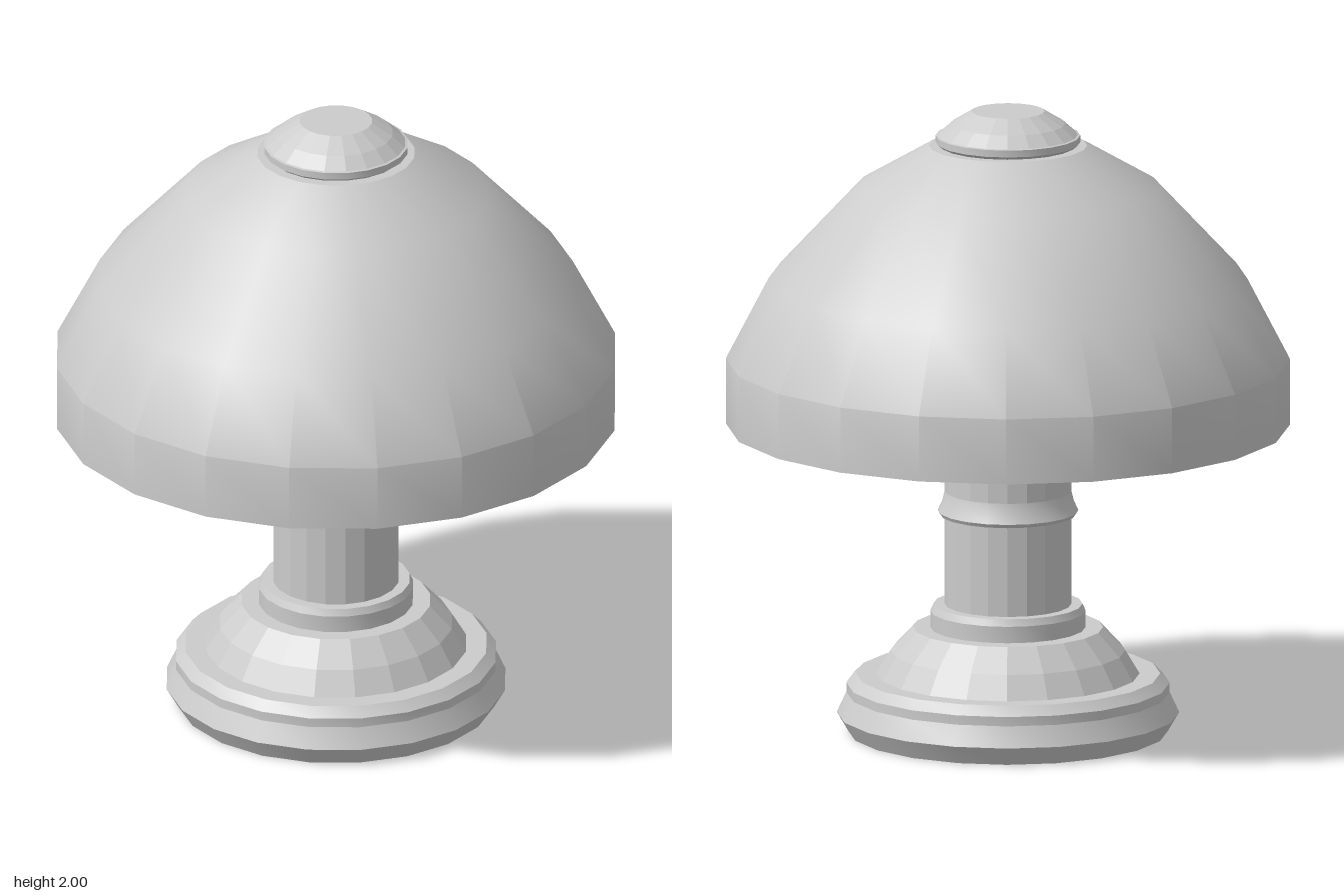
import * as THREE from 'three';
import { toCreasedNormals } from 'three/addons/utils/BufferGeometryUtils.js';

const SIDES = 20;
const material = new THREE.MeshStandardMaterial({ color: 0xcccccc });
const faceted = new THREE.MeshStandardMaterial({ color: 0xcccccc, flatShading: true });

// Turned part from [radius, height] pairs, listed from the bottom up.
function turned(name, profile, { flat = false, crease = 24 } = {}) {
  const points = profile.map(([r, y]) => new THREE.Vector2(r, y));
  const lathe = new THREE.LatheGeometry(points, SIDES);
  const geometry = flat ? lathe : toCreasedNormals(lathe, THREE.MathUtils.degToRad(crease));
  const mesh = new THREE.Mesh(geometry, flat ? faceted : material);
  mesh.name = name;
  return mesh;
}

export function createModel() {
  const group = new THREE.Group();
  group.name = 'tableLamp';
  group.add(
    // Foot: splayed plinth, faceted shoulder and a small collar
    turned('basePlinth', [[0, 0], [0.505, 0], [0.54, 0.06], [0.51, 0.125], [0.51, 0.155], [0.48, 0.185], [0.41, 0.185]]),
    turned('baseShoulder', [[0.415, 0.185], [0.37, 0.26], [0.3, 0.335], [0.24, 0.335]], { flat: true }),
    turned('baseCollar', [[0.245, 0.335], [0.245, 0.388], [0.235, 0.41], [0.19, 0.41]]),
    // Column with a raised ring
    turned('stem', [[0.2, 0.4], [0.2, 0.97]], { flat: true }),
    turned('stemRing', [[0.2, 0.7], [0.215, 0.7], [0.222, 0.712], [0.207, 0.745], [0.2, 0.775]]),
    // Dome shade with a shallow conical underside
    turned('shadeUnderside', [[0, 0.945], [0.89, 0.99]]),
    turned('shade', [[0.89, 0.99], [0.89, 1.2], [0.755, 1.46], [0.48, 1.755], [0.25, 1.89], [0.2, 1.89]], { crease: 28 }),
    // Cap on top of the shade
    turned('capRim', [[0.215, 1.89], [0.228, 1.9], [0.228, 1.922], [0.215, 1.925]]),
    turned('cap', [[0.22, 1.924], [0.18, 1.96], [0.115, 2], [0, 2]], { flat: true }),
  );
  return group;
}
